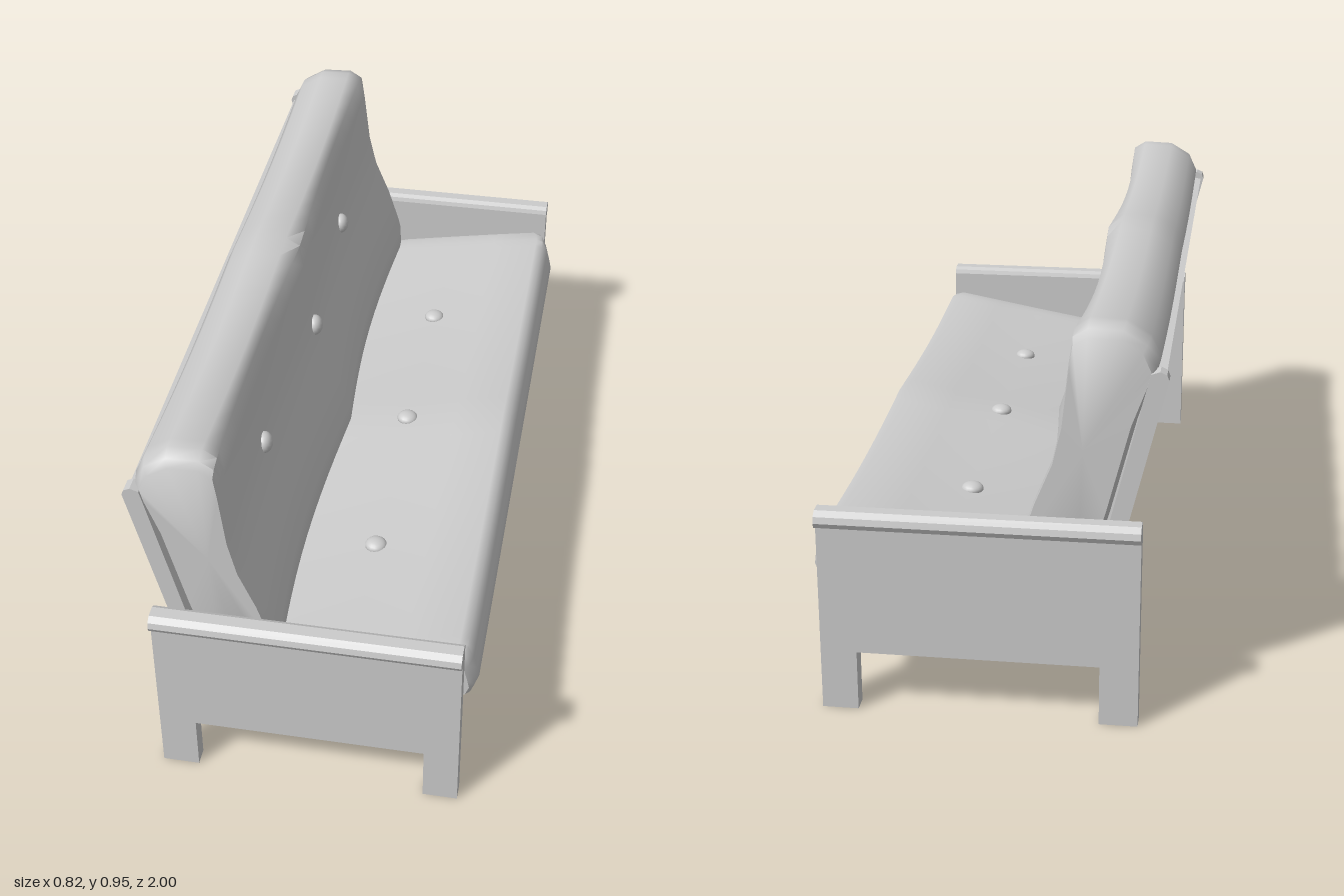
import * as THREE from 'three';
import { toCreasedNormals } from 'three/addons/utils/BufferGeometryUtils.js';

const material = new THREE.MeshStandardMaterial({ color: 0xcccccc });

function add(group, name, geometry) {
  const mesh = new THREE.Mesh(geometry, material);
  mesh.name = name;
  group.add(mesh);
  return mesh;
}

// Side outline (x, y) extruded from z0 to z1
function slab(points, z0, z1) {
  const shape = new THREE.Shape(points.map(([x, y]) => new THREE.Vector2(x, y)));
  return new THREE.ExtrudeGeometry(shape, { depth: z1 - z0, bevelEnabled: false }).translate(0, 0, z0);
}

// Soft cushion: a side outline lofted along z, with rounded ends and a wavy stuffing rule
function cushion(outline, width, wave) {
  const stations = [[-1, 0], [-1, 0.9], [-0.985, 0.96], [-0.95, 1]];
  for (let i = -11; i <= 11; i++) stations.push([i / 12, 1]);
  stations.push([0.95, 1], [0.985, 0.96], [1, 0.9], [1, 0]);

  const n = outline.length;
  const cx = outline.reduce((sum, p) => sum + p[0], 0) / n;
  const cy = outline.reduce((sum, p) => sum + p[1], 0) / n;
  const positions = [], indices = [];
  stations.forEach(([t, s], j) => {
    for (let i = 0; i < n; i++) {
      const [x, y] = outline[i];
      const [dx, dy] = wave(x, y, Math.abs(t * width));
      positions.push(cx + (x + dx - cx) * s, cy + (y + dy - cy) * s, t * width);
      if (j > 0) {
        const a = (j - 1) * n + i, b = (j - 1) * n + (i + 1) % n;
        indices.push(a, b, b + n, a, b + n, a + n);
      }
    }
  });
  const geometry = new THREE.BufferGeometry();
  geometry.setAttribute('position', new THREE.Float32BufferAttribute(positions, 3));
  geometry.setIndex(indices);
  return toCreasedNormals(geometry, 0.9);
}

const clamp = THREE.MathUtils.clamp;
// Zero at the middle and the ends, one at the quarter points
const ripple = (z) => Math.sin(Math.PI * Math.min(z / 0.95, 1));

export function createModel() {
  const sofa = new THREE.Group();
  sofa.name = 'sofa';

  // Arms: panel with two legs, topped by a rounded cap overhanging outwards
  const panel = [[-0.36, 0], [-0.27, 0], [-0.27, 0.148], [0.295, 0.148], [0.295, 0],
    [0.38, 0], [0.38, 0.47], [-0.36, 0.47]];
  const cap = [[0.936, 0.46], [0.978, 0.46], [0.993, 0.467], [1, 0.48], [0.996, 0.495],
    [0.982, 0.506], [0.952, 0.506], [0.94, 0.499], [0.936, 0.487]];
  // Back posts lean backwards
  const post = [[-0.21, 0.155], [-0.235, 0.155], [-0.25, 0.175], [-0.41, 0.835], [-0.405, 0.848],
    [-0.39, 0.855], [-0.37, 0.848], [-0.21, 0.185]];

  for (const s of [1, -1]) {
    const side = s > 0 ? 'left' : 'right';
    const span = (a, b) => (s > 0 ? [a, b] : [-b, -a]);
    add(sofa, side + 'Arm', slab(panel, ...span(0.936, 0.978)));
    add(sofa, side + 'ArmCap', slab(cap.map(([z, y]) => [z * s, y]), 0, 0.74)
      .rotateY(-Math.PI / 2).translate(0.38, 0, 0));
    add(sofa, side + 'BackPost', slab(post, ...span(0.9, 0.936)));
  }

  // Seat platform slopes down to the back, with a rail under its front edge
  add(sofa, 'seatPlatform', slab([[0.34, 0.27], [0.34, 0.302], [-0.25, 0.19], [-0.25, 0.16]], -0.9, 0.9));
  add(sofa, 'frontRail', slab([[0.3, 0.19], [0.335, 0.19], [0.335, 0.265], [0.3, 0.265]], -0.93, 0.93));

  // Back panel and its top rail between the posts
  add(sofa, 'backPanel', slab([[-0.215, 0.2], [-0.232, 0.2], [-0.376, 0.8], [-0.358, 0.8]], -0.9, 0.9));
  add(sofa, 'backTopRail', slab([[-0.358, 0.8], [-0.392, 0.8], [-0.402, 0.835], [-0.366, 0.835]], -0.9, 0.9));

  // Seat cushion
  const seatOutline = [[-0.13, 0.215], [0.1, 0.258], [0.3, 0.295], [0.38, 0.303], [0.4, 0.308],
    [0.41, 0.335], [0.405, 0.36], [0.395, 0.4], [0.38, 0.432], [0.36, 0.437], [0.23, 0.41],
    [0.1, 0.385], [-0.08, 0.355], [-0.14, 0.34]];
  const seat = cushion(seatOutline, 0.92, (x, y, z) => {
    const top = clamp((y - 0.33 + (0.38 - x) * 0.18) / 0.08, 0, 1);
    const notch = x > 0.35 && y < 0.32 ? 0.03 * Math.max(0, 1 - z / 0.2) : 0;
    return [0, -0.016 * top * ripple(z) + notch];
  });
  // Ends bulge towards the arms at mid depth
  const p = seat.attributes.position;
  for (let i = 0; i < p.count; i++) {
    p.setZ(i, p.getZ(i) * (1 + 0.015 * Math.max(0, 1 - ((p.getX(i) - 0.1) / 0.28) ** 2)));
  }
  add(sofa, 'seatCushion', seat);

  // Back cushion
  const backOutline = [[-0.13, 0.22], [-0.06, 0.3], [-0.065, 0.4], [-0.1, 0.51], [-0.145, 0.62],
    [-0.168, 0.72], [-0.185, 0.87], [-0.194, 0.935], [-0.23, 0.956], [-0.31, 0.953], [-0.365, 0.92],
    [-0.388, 0.87], [-0.38, 0.84], [-0.34, 0.73], [-0.282, 0.5], [-0.21, 0.24]];
  add(sofa, 'backCushion', cushion(backOutline, 0.93, (x, y, z) => {
    const top = clamp((y - 0.6) / 0.3, 0, 1);
    const front = x > -0.2 ? 1 : 0;
    return [-front * (0.03 - 0.015 * top) * ripple(z),
      -top * (0.022 * ripple(z) + 0.018 * Math.max(0, 1 - z / 0.9))];
  }));

  // Tufting buttons, three on each cushion
  for (const z of [-0.505, 0, 0.505]) {
    const dip = z === 0 ? 0 : 1;
    const backButton = add(sofa, 'backButton', new THREE.SphereGeometry(0.028, 16, 12));
    backButton.scale.x = 0.8;
    backButton.position.set(-0.16 - 0.025 * dip, 0.668, z);
    const seatButton = add(sofa, 'seatButton', new THREE.SphereGeometry(0.028, 16, 12));
    seatButton.scale.y = 0.6;
    seatButton.position.set(0.096, 0.384 - 0.015 * dip, z);
  }
  return sofa;
}
